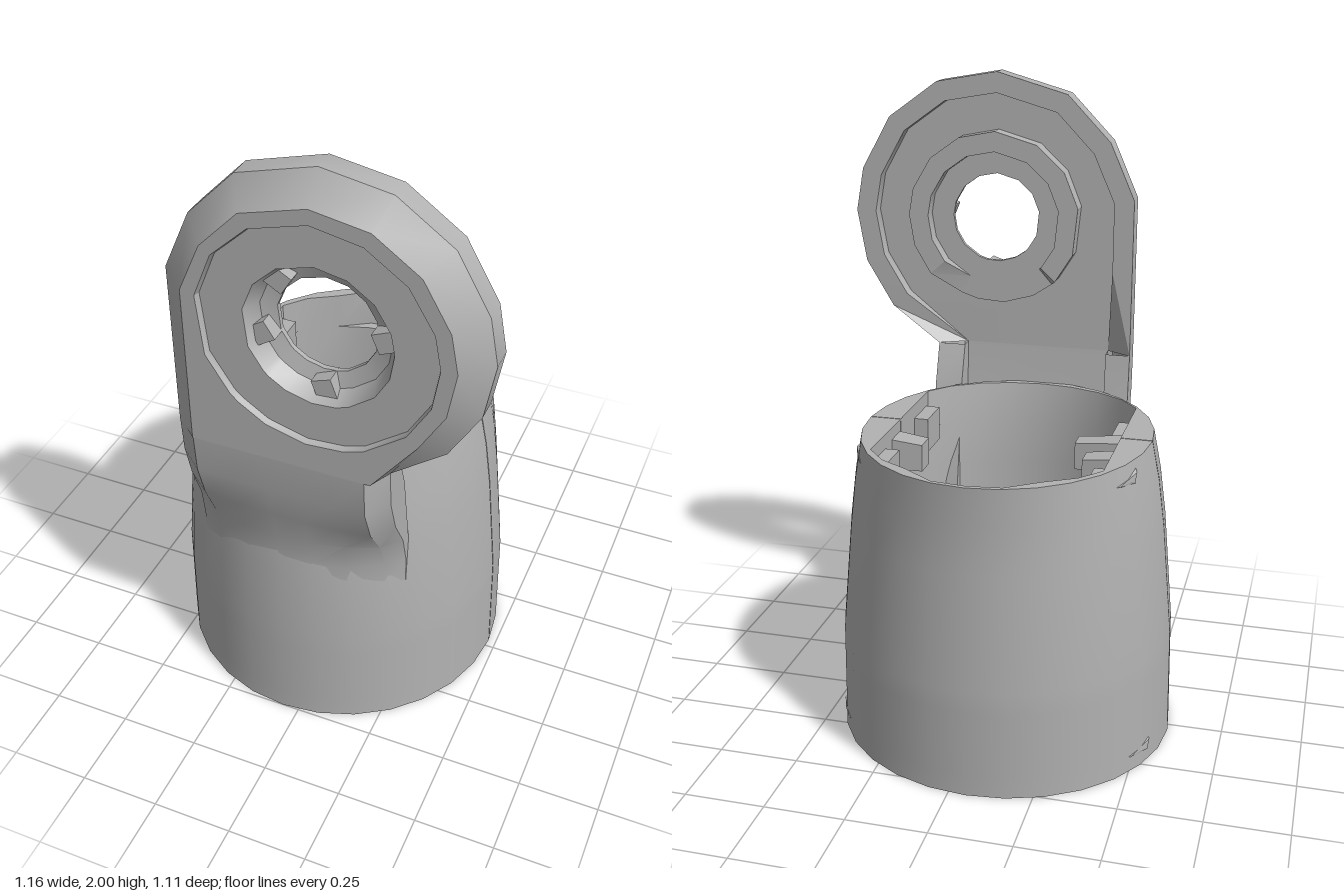
import * as THREE from 'three';
import { toCreasedNormals } from 'three/addons/utils/BufferGeometryUtils.js';

// Skin a list of loops of [x, y, z] points
function loft(loops, closeLoop, closeList, crease = 0.5) {
  const pos = [];
  const n = loops[0].length, m = loops.length;
  for (let j = 0; j < (closeList ? m : m - 1); j++) {
    for (let i = 0; i < (closeLoop ? n : n - 1); i++) {
      const A = loops[j], B = loops[(j + 1) % m], k = (i + 1) % n;
      pos.push(...A[i], ...A[k], ...B[k], ...A[i], ...B[k], ...B[i]);
    }
  }
  const g = new THREE.BufferGeometry();
  g.setAttribute('position', new THREE.Float32BufferAttribute(pos, 3));
  return toCreasedNormals(g, crease);
}

export function createModel() {
  const root = new THREE.Group();
  const grey = new THREE.MeshStandardMaterial({ color: 0xb2b2b2, side: THREE.DoubleSide });
  grey.name = 'plain grey';
  const add = (name, geo, parent = root) => {
    const mesh = new THREE.Mesh(geo, grey);
    mesh.name = name;
    parent.add(mesh);
    return mesh;
  };
  const box = (name, x0, x1, y0, y1, z0, z1) => {
    const b = add(name, new THREE.BoxGeometry(x1 - x0, y1 - y0, z1 - z0));
    b.position.set((x0 + x1) / 2, (y0 + y1) / 2, (z0 + z1) / 2);
  };

  // Sleeve: outer rows are y, x radius, front radius, back radius
  const CX = -0.053, CZ = -0.03;
  const outerRows = [[0, 0.528, 0.53, 0.515], [0.35, 0.522, 0.53, 0.525],
    [0.7, 0.49, 0.52, 0.497], [0.85, 0.47, 0.505, 0.5], [0.975, 0.445, 0.49, 0.505]];
  // Inner rows are y, x limit, front radius, back radius, back notch radius
  const innerRows = [[0, 0.44], [0.07, 0.44], [0.07, 0.465], [0.24, 0.465], [0.24, 0.435], [0.28, 0.435],
    [0.28, 0.455], [0.35, 0.455]].map(([y, r]) => [y, r, r, r, r]).concat([
    [0.7, 0.43, 0.45, 0.45, 0.45], [0.85, 0.42, 0.45, 0.45, 0.45],
    [0.85, 0.348, 0.45, 0.45, 0.48], [0.975, 0.348, 0.465, 0.45, 0.49]]);
  const outerAt = (y) => {
    let k = 0;
    while (k < outerRows.length - 2 && outerRows[k + 1][0] < y) k++;
    const a = outerRows[k], b = outerRows[k + 1], f = (y - a[0]) / (b[0] - a[0]);
    return a.map((v, i) => v + (b[i] - v) * f);
  };
  const SEG = 14, GAP = 0.004;
  const halfSleeve = (name, start) => {
    const angles = Array.from({ length: SEG + 1 }, (_, i) =>
      start + Math.PI - GAP - (i / SEG) * (Math.PI - 2 * GAP));
    const outer = innerRows.map(([y]) => {
      const r = outerAt(y);
      return angles.map((t) => [CX + r[1] * Math.cos(t), y, CZ + Math.sin(t) * (Math.sin(t) > 0 ? r[2] : r[3])]);
    });
    const inner = innerRows.map(([y, limit, front, back, notch]) => angles.map((t) => {
      const c = Math.cos(t), s = Math.sin(t);
      const depth = s > 0 ? front : Math.abs(c) < 0.3 ? notch : back;
      return [CX + THREE.MathUtils.clamp(0.465 * c, -limit, limit), y, CZ + s * depth];
    }));
    const half = new THREE.Group();
    half.name = name;
    root.add(half);
    add('shell', loft([...outer, ...inner.slice().reverse()], false, true), half);
    // Faces along the split line
    add('leftSplitFace', loft([outer.map((r) => r[SEG]), inner.map((r) => r[SEG])], false, false), half);
    add('rightSplitFace', loft([inner.map((r) => r[0]), outer.map((r) => r[0])], false, false), half);
  };
  halfSleeve('frontSleeveHalf', 0);
  halfSleeve('backSleeveHalf', Math.PI);

  // Clips inside the sleeve
  for (const [side, x0, x1] of [['right', -0.42, -0.35], ['left', 0.25, 0.32]]) {
    box(side + 'BackStrip', x0, x1, 0.82, 0.93, -0.3, -0.18);
    box(side + 'FrontStrip', x0, x1, 0.82, 0.93, 0.11, 0.24);
  }
  // Tapered pin pointing to the middle
  const pin = (name, x0, x1, z0, z1) => {
    const sec = (x, s) => {
      const zc = (z0 + z1) / 2, h = (z1 - z0) / 2 * s;
      return [[x, 0.84, zc - h], [x, 0.84, zc + h], [x, 0.84 + 0.1 * s, zc + h], [x, 0.84 + 0.1 * s, zc - h]];
    };
    const tip = sec(x1, 0.85);
    add(name, loft([sec(x0, 1), tip, tip.map(() => [x1, 0.87, (z0 + z1) / 2])], true, false, 0.3));
  };
  pin('rightBackPin', -0.42, -0.3, -0.12, -0.035);
  pin('rightFrontPin', -0.42, -0.25, 0.02, 0.1);
  pin('leftBackPin', 0.32, 0.2, -0.12, -0.035);
  box('backCatch', -0.12, 0.02, 0.78, 0.9, -0.52, -0.485);

  // Small wedge catches showing through the back half
  for (const side of [-1, 1]) {
    for (const y of [0.05, 0.92]) {
      const r = outerAt(y), p = (t, dy, out) => [
        CX + side * (r[1] + out) * Math.cos(t), y + dy, CZ - (r[3] + out) * Math.sin(t)];
      add('wedgeCatch', loft([[p(0.34, 0.03, -0.01), p(0.34, -0.025, -0.01), p(0.58, 0.0, -0.01)],
        [p(0.36, 0.02, 0.002), p(0.38, -0.01, 0.002), p(0.54, 0.0, 0.001)],
        [p(0.42, 0, 0.002), p(0.42, 0, 0.002), p(0.42, 0, 0.002)]], true, false, 0.2));
    }
  }

  // Arm: rows are y, blend from sleeve surface to flat front, front z, edge z, back z, recess z
  const armRows = [[0.56, 0, 0.49, 0.44, 0.3, 0.425], [0.65, 0.1, 0.5, 0.44, 0.31, 0.43],
    [0.75, 0.4, 0.515, 0.45, 0.33, 0.435], [0.86, 0.82, 0.535, 0.467, 0.35, 0.44],
    [0.975, 1, 0.547, 0.476, 0.37, 0.45], [1.1, 1, 0.555, 0.485, 0.415, 0.46]];
  const sleeveFront = (x, y) => {
    const r = outerAt(y);
    return CZ + r[2] * Math.sqrt(1 - ((x - CX) / r[1]) ** 2) - 0.004;
  };
  add('arm', loft(armRows.map(([y, s, f, m, b, r]) => {
    const rightBack = Math.min(b + 0.03, 0.415);
    const recess = (x) => [x, y, THREE.MathUtils.lerp(sleeveFront(x, y) - 0.02, r, s)];
    return [[-0.35, y, rightBack],
      ...[-0.35, -0.27, -0.16, -0.05, 0.05, 0.15, 0.25, 0.3].map((x) =>
        [x, y, THREE.MathUtils.lerp(sleeveFront(x, y), x < -0.3 || x > 0.28 ? m : f, s)]),
      [0.3, y, b], [0.21, y, b], recess(0.21), recess(-0.05), recess(-0.27), [-0.27, y, rightBack]];
  }), true, false, 0.5));

  // Eye plate: outline counter-clockwise, then rings stepping in to the hole and back out
  const EX = 0.11, EY = 1.53, BASE = 1.1, FLOOR = 0.46;
  const outline = [[0.58, 1.54], [0.555, 1.68], [0.46, 1.85], [0.3, 1.965], [0.1, 2], [-0.13, 1.935],
    [-0.27, 1.79], [-0.35, 1.61], [-0.35, 1.35], [-0.35, BASE], [-0.27, BASE], [-0.1, BASE], [0.07, BASE],
    [0.21, BASE], [0.3, BASE], [0.46, 1.22], [0.55, 1.37]];
  const scaled = (x, y, k) => [EX + (x - EX) * k, y === BASE ? y : EY + (y - EY) * k];
  const edge = (z) => outline.map(([x, y]) => [x, y, z]);
  const back = outline.map(([x, y]) => [x, y, y === BASE && x > -0.3 && x < 0.25 ? FLOOR : 0.415]);
  const inset = outline.map(([x, y]) => [...scaled(x, y, 0.83), 0.555]);
  // Inside of the rim; the recess runs on down into the arm
  const rim = (z) => outline.map(([x, y]) => y === BASE
    ? [THREE.MathUtils.clamp(x, -0.27, 0.21), y, FLOOR] : [...scaled(x, y, 0.86), z]);
  const ring = (r, z, zLow = z) => outline.map(([x, y]) => {
    const a = Math.atan2(y - EY, x - EX);
    return [EX + r * Math.cos(a), EY + r * Math.sin(a), Math.sin(a) < -0.7 ? zLow : z];
  });
  add('eyePlate', loft([back, edge(0.485), inset,
    ring(0.345, 0.555), ring(0.34, 0.535), ring(0.215, 0.535), ring(0.19, 0.48),
    ring(0.145, 0.465), ring(0.145, 0.45), ring(0.22, 0.45), ring(0.22, 0.402, 0.45),
    ring(0.285, 0.402, 0.45), ring(0.285, FLOOR), rim(FLOOR), rim(0.415)], true, true, 0.45));

  // Teeth around the hole
  for (const a of [0.1, 2.3, 3.4, 4.75]) {
    const tooth = add('holeTooth', new THREE.BoxGeometry(0.06, 0.06, 0.06));
    tooth.position.set(EX + 0.18 * Math.cos(a), EY + 0.18 * Math.sin(a), 0.48);
    tooth.rotation.z = a + 0.3;
  }
  return root;
}
